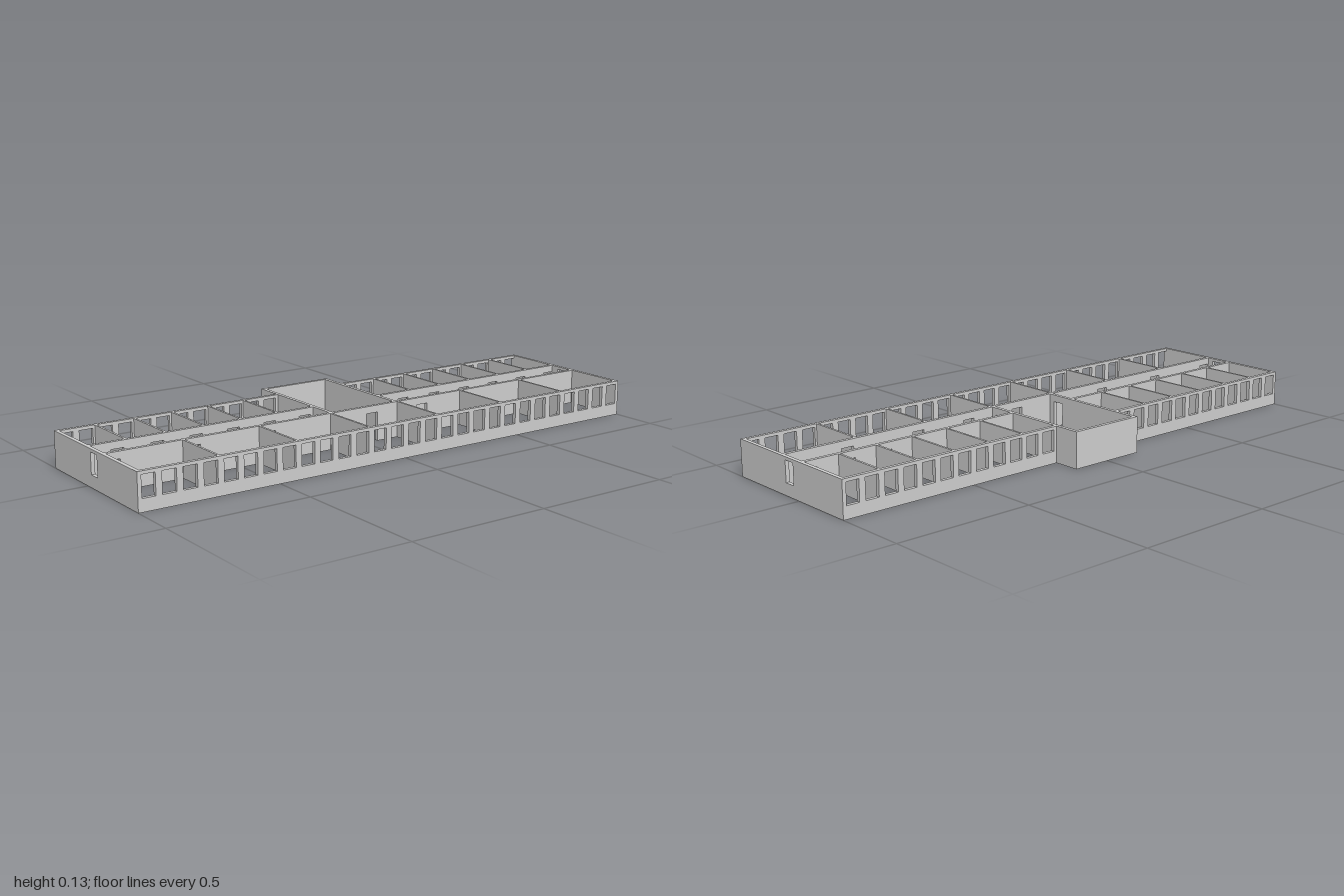
import * as THREE from 'three';

const H = 0.128;          // wall height
const T = 0.0135;         // main wall thickness
const THIN = 0.008;       // partition thickness
const SILL = 0.043, WINDOW_TOP = 0.117, DOOR_TOP = 0.103;
const BAY = 1 / 14;       // window spacing
const BACK = -0.238, FRONT = 0.334;
const BLOCK = 1 / 7;      // half width of the central block

const material = new THREE.MeshStandardMaterial({ color: 0xcccccc, flatShading: true });

// Wall panel from a to b: doors are notches in the outline, windows are holes.
function panel(a, b, thickness, { windows = [], doors = [], windowWidth = 0.049, doorWidth = 0.047 } = {}) {
  const s = new THREE.Shape();
  s.moveTo(a, 0);
  for (const d of doors) {
    s.lineTo(d - doorWidth / 2, 0);
    s.lineTo(d - doorWidth / 2, DOOR_TOP);
    s.lineTo(d + doorWidth / 2, DOOR_TOP);
    s.lineTo(d + doorWidth / 2, 0);
  }
  s.lineTo(b, 0);
  s.lineTo(b, H);
  s.lineTo(a, H);
  s.closePath();
  for (const c of windows) {
    const w = windowWidth / 2, hole = new THREE.Path();
    hole.moveTo(c - w, SILL);
    hole.lineTo(c - w, WINDOW_TOP);
    hole.lineTo(c + w, WINDOW_TOP);
    hole.lineTo(c + w, SILL);
    hole.closePath();
    s.holes.push(hole);
  }
  return new THREE.ExtrudeGeometry(s, { depth: thickness, bevelEnabled: false });
}

export function createModel() {
  const group = new THREE.Group();
  const add = (name, geometry) => {
    const mesh = new THREE.Mesh(geometry, material);
    mesh.name = name;
    group.add(mesh);
  };
  // Wall running along x, its back face at z
  const wallX = (name, x0, x1, z, thickness, openings) =>
    add(name, panel(x0, x1, thickness, openings).translate(0, 0, z));
  // Wall running along z, its -x face at x
  const wallZ = (name, z0, z1, x, thickness, { windows = [], doors = [], ...rest } = {}) => {
    const flip = (list) => list.map((v) => -v);
    add(name, panel(-z1, -z0, thickness, { windows: flip(windows), doors: flip(doors), ...rest })
      .rotateY(Math.PI / 2).translate(x, 0, 0));
  };
  const row = (n, start, step) => Array.from({ length: n }, (_, i) => start + i * step);

  // Long front wall with a continuous row of windows
  wallX('frontWall', -1, 1, FRONT - T, T, { windows: row(28, -1 + BAY / 2, BAY) });

  // Corridor wall of the front rooms, one door per room
  wallX('frontCorridorWall', -1 + T, 1 - T, 0.092, T,
    { doors: [-0.96, -0.677, -0.392, 0.03, 0.25, 0.466, 0.752] });

  // Back wings on both sides of the central block
  for (const [side, x0] of [['right', -1], ['left', BLOCK]]) {
    const x1 = x0 + 12 * BAY;
    wallX(side + 'BackWall', x0, x1, BACK, T, { windows: row(12, x0 + BAY / 2, BAY) });
    wallX(side + 'BackCorridorWall', x0, x1, -0.0165, T, { doors: row(6, x0 + 1.5 * BAY, 2 * BAY) });
    for (const x of row(5, x0 + 2 * BAY, 2 * BAY))
      wallZ(side + 'BackPartition', BACK + T, -0.0165, x - THIN / 2, THIN);
  }

  // Partitions between the seven front rooms
  for (const x of row(6, -1 + 4 * BAY, 4 * BAY))
    wallZ('frontPartition', 0.1055, FRONT - T, x - THIN / 2, THIN);

  // End walls with a window lighting the corridor, and block sides with a corridor door
  for (const s of [-1, 1]) {
    const side = s < 0 ? 'right' : 'left';
    wallZ(side + 'EndWall', BACK, FRONT, s < 0 ? -1 : 1 - T, T,
      { windows: [0.0485], windowWidth: 0.043 });
    wallZ(side + 'BlockWall', -FRONT, 0.092, s < 0 ? -BLOCK : BLOCK - T, T,
      { doors: [0.0485], doorWidth: 0.043 });
  }

  // Blank rear wall of the central block
  wallX('blockBackWall', -BLOCK + T, BLOCK - T, -FRONT, T);

  return group;
}
